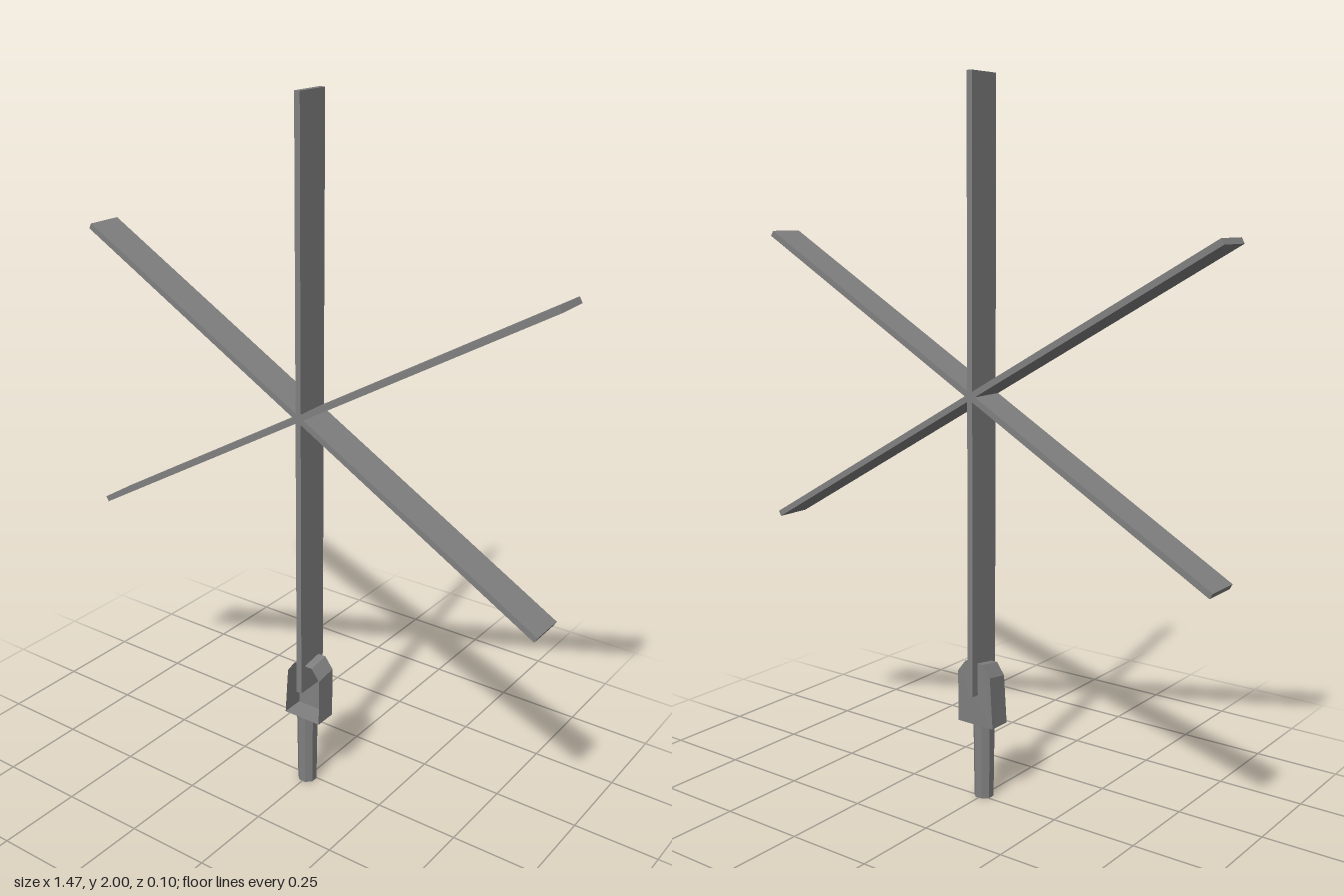
import * as THREE from 'three';

export function createModel() {
  const model = new THREE.Group();
  const grey = new THREE.MeshStandardMaterial({ color: 0x808080, flatShading: true, side: THREE.DoubleSide });
  grey.name = 'midGrey';

  const add = (name, geometry, x = 0, y = 0, z = 0) => {
    const mesh = new THREE.Mesh(geometry, grey);
    mesh.name = name;
    mesh.position.set(x, y, z);
    model.add(mesh);
    return mesh;
  };

  // three flat planks crossing at the hub make the six spokes
  for (let i = 0; i < 3; i++) {
    const plank = add('plank' + (i + 1), new THREE.BoxGeometry(0.017, 1.686, 0.105), 0, 1.157, 0);
    plank.rotation.z = (i * Math.PI) / 3;
  }

  // socket: a chamfered housing, open at the front
  const outline = [
    [-0.058, 0.223], [0.062, 0.223], [0.059, 0.368],
    [0.033, 0.402], [-0.028, 0.402], [-0.052, 0.368],
  ];
  const front = 0.041, back = -0.026;
  // the top leans slightly backward and upward
  const rimPoint = ([x, y], z) => {
    const top = y > 0.3 ? 1 : 0;
    return [x, y + (z === back ? 0.005 : -0.005) * top, z - 0.005 * top];
  };
  const walls = [];
  outline.forEach((p, i) => {
    const q = outline[(i + 1) % outline.length];
    const a = rimPoint(p, front), b = rimPoint(q, front);
    const c = rimPoint(q, back), d = rimPoint(p, back);
    walls.push(...a, ...d, ...c, ...a, ...c, ...b);
  });
  const wallGeometry = new THREE.BufferGeometry();
  wallGeometry.setAttribute('position', new THREE.Float32BufferAttribute(walls, 3));
  wallGeometry.computeVertexNormals();
  add('socketWalls', wallGeometry);

  // back panel fans out from the first corner, facing backward
  const panel = [];
  for (let i = 1; i < outline.length - 1; i++) {
    for (const k of [0, i + 1, i]) panel.push(...rimPoint(outline[k], back));
  }
  const panelGeometry = new THREE.BufferGeometry();
  panelGeometry.setAttribute('position', new THREE.Float32BufferAttribute(panel, 3));
  panelGeometry.computeVertexNormals();
  add('socketBack', panelGeometry);

  // eight-sided handle under the socket
  const handle = new THREE.CylinderGeometry(0.031, 0.028, 0.223, 8);
  handle.rotateY(Math.PI / 8);
  add('handle', handle, 0, 0.1115, 0.012);

  return model;
}
